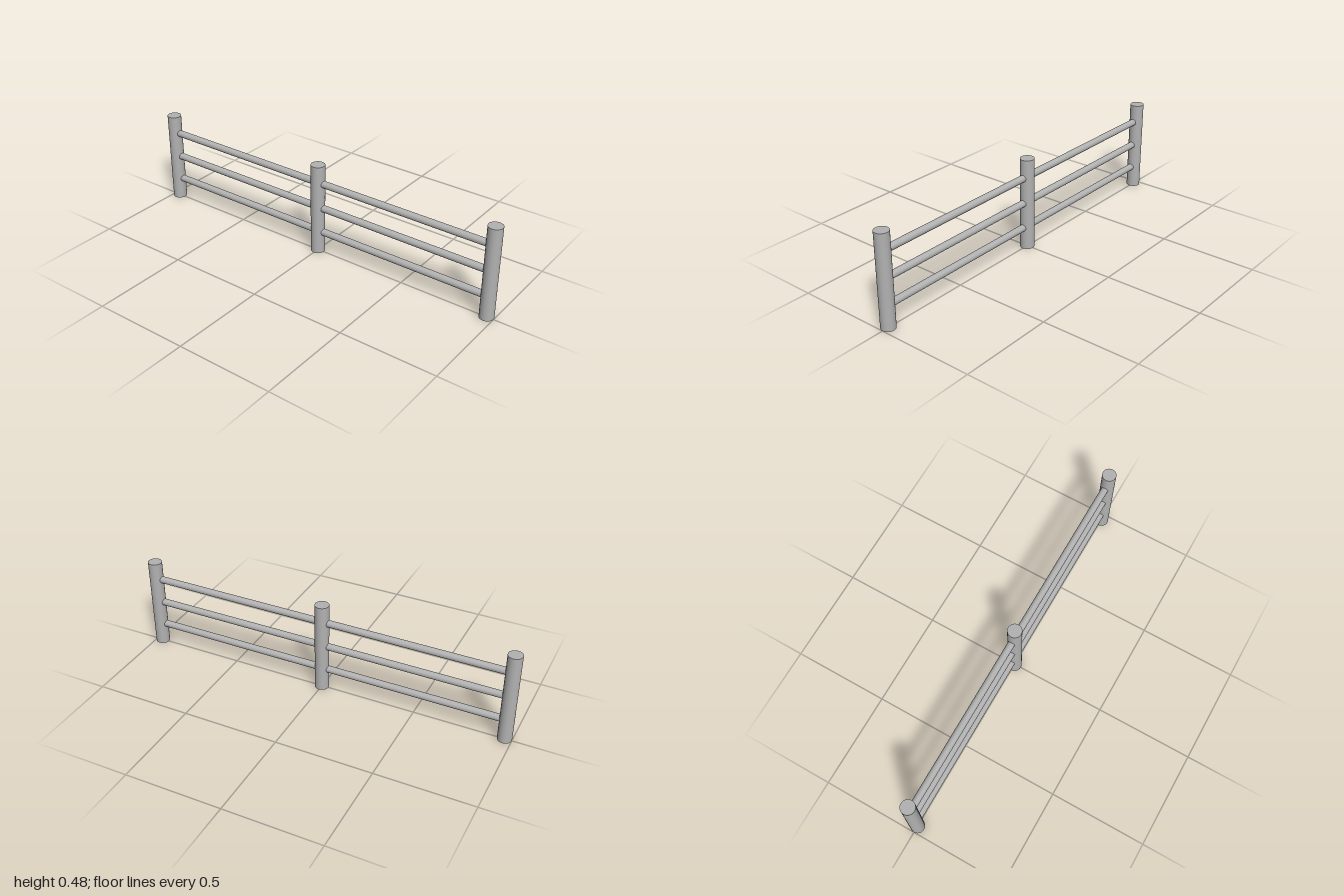
import * as THREE from 'three';

const POST_RADIUS = 0.036;
const POST_HEIGHT = 0.484;
const POST_X = 0.964;
const RAIL_RADIUS = 0.018;
const RAIL_HEIGHTS = [0.115, 0.25, 0.386];

export function createModel() {
  const fence = new THREE.Group();
  fence.name = 'fence';

  const metal = new THREE.MeshStandardMaterial({ color: 0xb2b2b2 });
  metal.name = 'grey metal';

  // Three upright round posts
  const postGeometry = new THREE.CylinderGeometry(POST_RADIUS, POST_RADIUS, POST_HEIGHT, 48);
  const postNames = ['rightPost', 'middlePost', 'leftPost'];
  postNames.forEach((name, i) => {
    const post = new THREE.Mesh(postGeometry, metal);
    post.name = name;
    post.position.set((i - 1) * POST_X, POST_HEIGHT / 2, 0);
    fence.add(post);
  });

  // Three horizontal rails in each bay, ends sunk slightly into the posts
  const railLength = POST_X - 2 * POST_RADIUS + 0.02;
  const railGeometry = new THREE.CylinderGeometry(RAIL_RADIUS, RAIL_RADIUS, railLength, 32, 1, true);
  railGeometry.rotateZ(Math.PI / 2);
  const levels = ['lower', 'middle', 'upper'];
  for (const side of [-1, 1]) {
    RAIL_HEIGHTS.forEach((y, i) => {
      const rail = new THREE.Mesh(railGeometry, metal);
      rail.name = `${levels[i]}${side > 0 ? 'Left' : 'Right'}Rail`;
      rail.position.set(side * POST_X / 2, y, 0);
      fence.add(rail);
    });
  }

  return fence;
}
